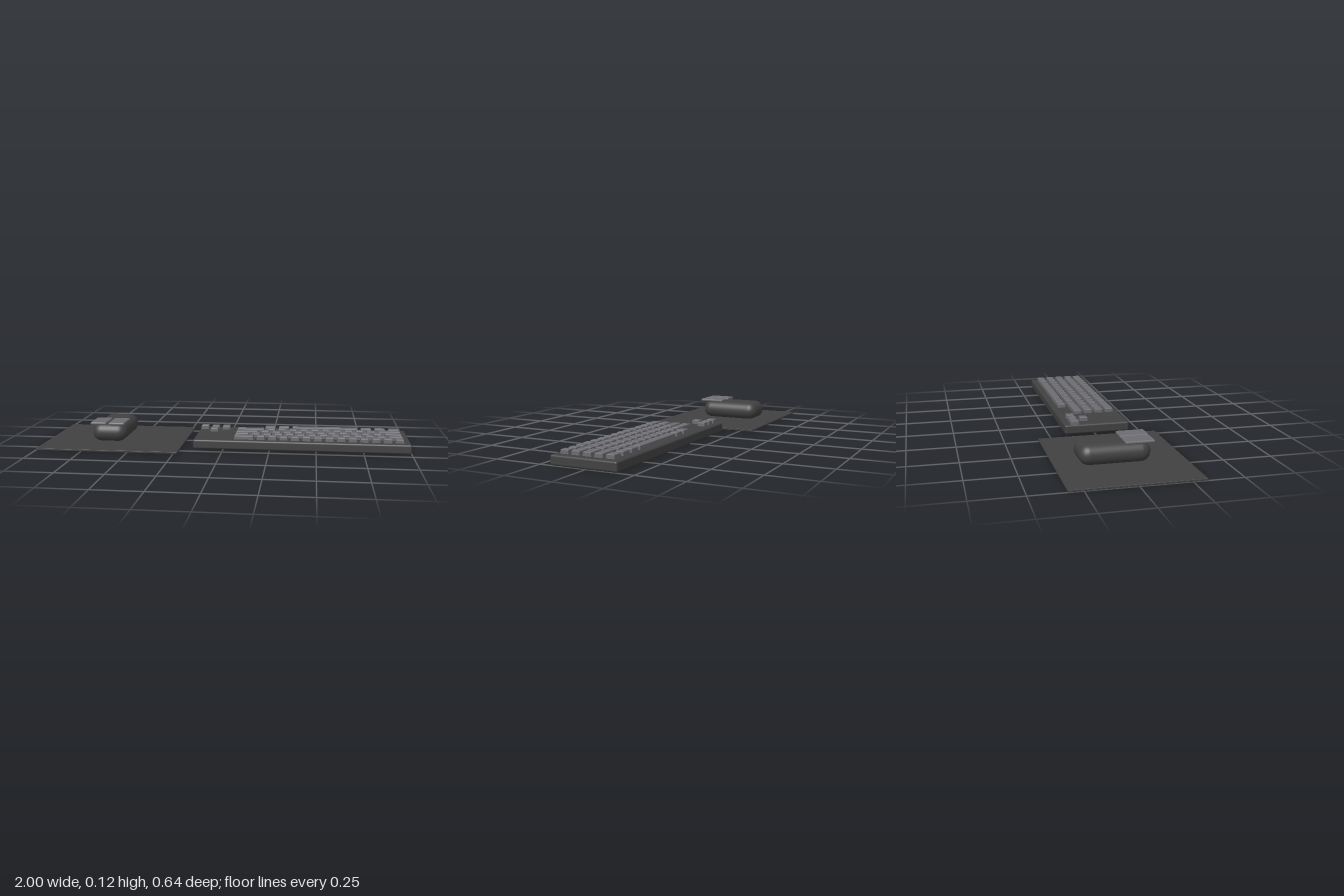
import * as THREE from 'three';
import { RoundedBoxGeometry } from 'three/addons/geometries/RoundedBoxGeometry.js';

const mat = (name, color) => {
  const m = new THREE.MeshStandardMaterial({ color });
  m.name = name;
  return m;
};

export function createModel() {
  const dark = mat('charcoal', 0x414141);
  const grey = mat('key grey', 0x6c6c71);
  const model = new THREE.Group();
  model.name = 'deskSet';

  // Rounded box given by its min and max corners
  const block = (parent, name, material, [x0, y0, z0], [x1, y1, z1], r, seg = 2) => {
    const geo = new RoundedBoxGeometry(x1 - x0, y1 - y0, z1 - z0, seg, r);
    const mesh = new THREE.Mesh(geo, material);
    mesh.position.set((x0 + x1) / 2, (y0 + y1) / 2, (z0 + z1) / 2);
    mesh.name = name;
    parent.add(mesh);
    return mesh;
  };

  // Mouse mat
  block(model, 'mouseMat', dark, [-1, 0, -0.322], [-0.23, 0.01, 0.322], 0.002, 1);

  // Mouse with two raised buttons
  const mouse = new THREE.Group();
  mouse.name = 'mouse';
  model.add(mouse);
  block(mouse, 'mouseBody', dark, [-0.746, 0.01, -0.209], [-0.55, 0.113, 0.144], 0.051, 4);
  block(mouse, 'rightButton', grey, [-0.744, 0.109, 0.01], [-0.655, 0.125, 0.154], 0.007, 3);
  block(mouse, 'leftButton', grey, [-0.643, 0.109, 0.01], [-0.554, 0.125, 0.154], 0.007, 3);

  // Keyboard case
  const keyboard = new THREE.Group();
  keyboard.name = 'keyboard';
  model.add(keyboard);
  block(keyboard, 'keyboardCase', dark, [-0.165, 0, -0.163], [1, 0.051, 0.195], 0.01, 3);

  // Key caps: w is the width in key units, tapered towards the top
  const unit = 0.0615, gap = 0.0145, depth = 0.048, base = 0.046, top = 0.0715;
  const addKey = (x, z, w) => {
    const width = w * unit - gap;
    const key = block(keyboard, 'key', grey,
      [x + gap / 2, base, z - depth / 2], [x + gap / 2 + width, top, z + depth / 2], 0.004);
    const p = key.geometry.attributes.position;
    for (let i = 0; i < p.count; i++) {
      const inset = 0.003 * (p.getY(i) / (top - base) + 0.5);
      p.setX(i, p.getX(i) * (1 - 2 * inset / width));
      p.setZ(i, p.getZ(i) * (1 - 2 * inset / depth));
    }
  };

  // Main rows from front to back, each a list of key widths
  const ones = (n) => Array(n).fill(1);
  const rows = [
    [2, ...ones(13)],
    [1.5, ...ones(12), 1.5],
    [2.25, ...ones(11), 1.75],
    [2.75, ...ones(10), 2.25],
    [1.25, 1.25, 6.25, 1.25, 1.25, 1.25],
  ];
  const rowZ = (i) => 0.141 - i * unit;
  rows.forEach((row, i) => {
    let x = 0.048 + (i === 4 ? 2.5 * unit : 0);
    for (const w of row) {
      addKey(x, rowZ(i), w);
      x += w * unit;
    }
  });

  // Arrow keys
  const arrowX = -0.167;
  for (let i = 0; i < 3; i++) addKey(arrowX + i * unit, rowZ(4), 1);
  addKey(arrowX + unit, rowZ(3), 1);

  return model;
}
